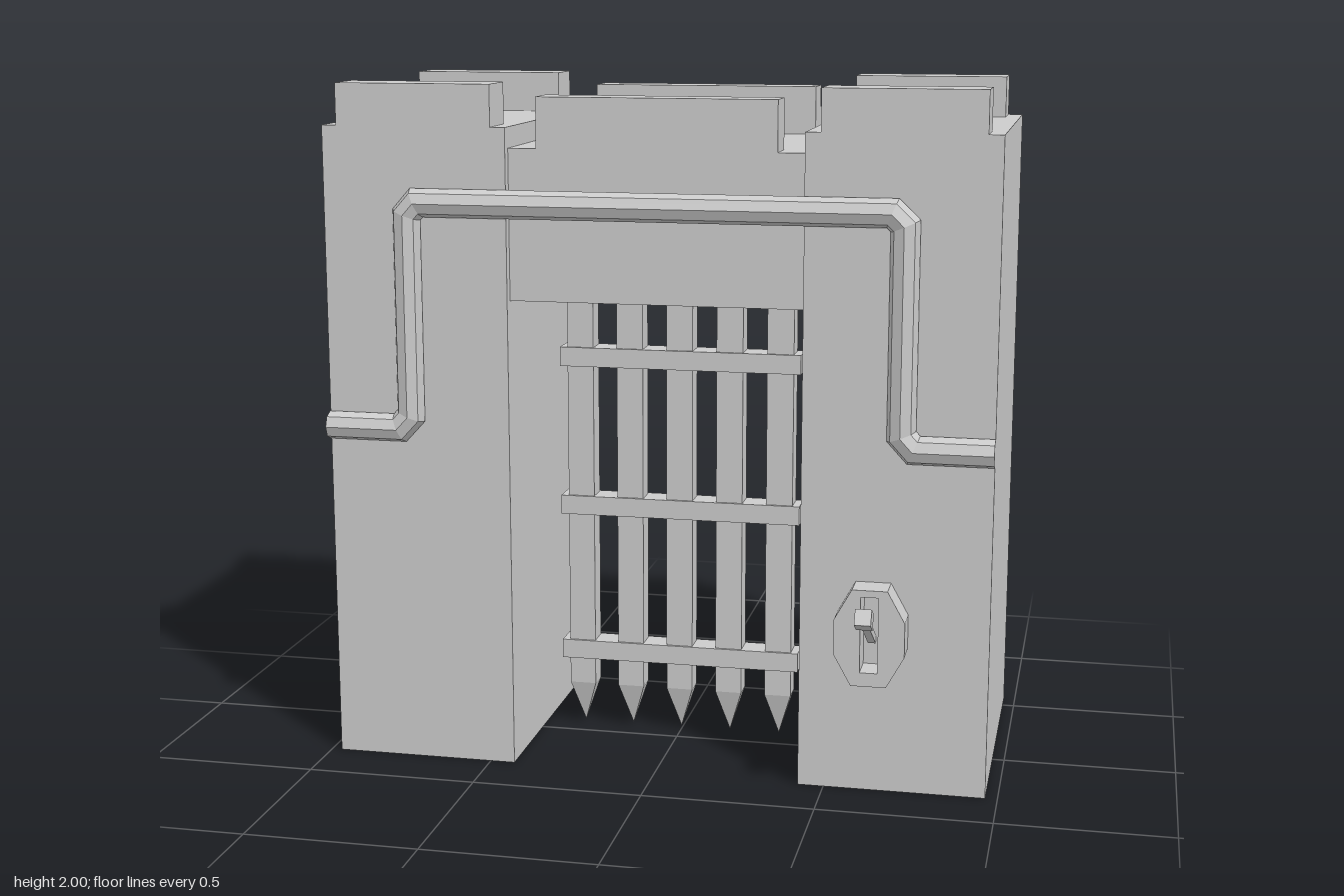
import * as THREE from 'three';

const material = new THREE.MeshStandardMaterial({ color: 0xcccccc, flatShading: true });

function add(parent, name, geometry) {
  const mesh = new THREE.Mesh(geometry, material);
  mesh.name = name;
  parent.add(mesh);
  return mesh;
}

// Box given by its limits on each axis
function box(parent, name, [x0, x1], [y0, y1], [z0, z1]) {
  const mesh = add(parent, name, new THREE.BoxGeometry(x1 - x0, y1 - y0, z1 - z0));
  mesh.position.set((x0 + x1) / 2, (y0 + y1) / 2, (z0 + z1) / 2);
  return mesh;
}

function group(parent, name) {
  const g = new THREE.Group();
  g.name = name;
  parent.add(g);
  return g;
}

// Mitred round pipe along a path in a plane of constant z, with closed ends
function pipeGeometry(path, z, radius, sides) {
  const pos = [], index = [];
  const pts = path.map(([x, y]) => new THREE.Vector2(x, y));
  const last = pts.length - 1;
  pts.forEach((p, i) => {
    const a = pts[Math.max(i - 1, 0)], b = pts[Math.min(i + 1, last)];
    const d1 = (i > 0 ? p.clone().sub(a) : b.clone().sub(p)).normalize();
    const d2 = (i < last ? b.clone().sub(p) : d1.clone()).normalize();
    const t = d1.clone().add(d2).normalize();
    const r = radius / t.dot(d1);
    for (let s = 0; s < sides; s++) {
      const q = (s / sides) * Math.PI * 2;
      pos.push(p.x - t.y * r * Math.cos(q), p.y + t.x * r * Math.cos(q), z + radius * Math.sin(q));
      if (i < last) {
        const n = (s + 1) % sides, k = i * sides;
        index.push(k + s, k + n, k + sides + s, k + n, k + sides + n, k + sides + s);
      }
    }
  });
  for (let s = 1; s < sides - 1; s++) {
    index.push(0, s + 1, s);
    index.push(last * sides, last * sides + s, last * sides + s + 1);
  }
  const g = new THREE.BufferGeometry();
  g.setAttribute('position', new THREE.Float32BufferAttribute(pos, 3));
  g.setIndex(index);
  g.computeVertexNormals();
  return g;
}

export function createModel() {
  const model = new THREE.Group();
  model.name = 'castleGate';

  // Two towers with a battlement at front and back
  for (const [name, x0, x1] of [['rightTower', -0.97, -0.427], ['leftTower', 0.425, 0.965]]) {
    const tower = group(model, name);
    box(tower, 'towerBody', [x0, x1], [0, 1.88], [-0.57, 0.32]);
    for (const z of [[-0.57, -0.43], [0.18, 0.32]]) {
      box(tower, 'towerBattlement', [x0 + 0.043, x1 - 0.043], [1.88, 2], z);
    }
  }

  // Bridge between the towers
  const bridge = group(model, 'bridge');
  box(bridge, 'bridgeBody', [-0.427, 0.425], [1.385, 1.82], [-0.54, 0.29]);
  for (const z of [[-0.54, -0.43], [0.18, 0.29]]) {
    box(bridge, 'bridgeBattlement', [-0.345, 0.345], [1.82, 1.965], z);
  }

  // Portcullis: pointed uprights and three crossbars
  const gate = group(model, 'portcullis');
  const gateZ = -0.075;
  for (let i = -2; i <= 2; i++) {
    const x = i * 0.153;
    box(gate, 'gateBar', [x - 0.04, x + 0.04], [0.14, 1.39], [gateZ - 0.035, gateZ + 0.035]);
    const spike = add(gate, 'gateSpike',
      new THREE.ConeGeometry(Math.SQRT1_2, 1, 4, 1, true).rotateY(Math.PI / 4).rotateX(Math.PI));
    spike.scale.set(0.08, 0.13, 0.07);
    spike.position.set(x, 0.075, gateZ);
  }
  for (const y of [0.25, 0.71, 1.17]) {
    box(gate, 'gateCrossbar', [-0.368, 0.368], [y - 0.029, y + 0.029], [gateZ - 0.043, gateZ + 0.043]);
  }

  // Pipe running across the front
  add(model, 'pipe', pipeGeometry([
    [-0.97, 1.007], [-0.755, 1.007], [-0.72, 1.045], [-0.72, 1.63], [-0.69, 1.664],
    [0.67, 1.664], [0.705, 1.63], [0.705, 1.045], [0.74, 1.007], [0.965, 1.007],
  ], 0.325, 0.041, 8));

  // Slotted lever plate
  const control = group(model, 'leverControl');
  control.position.set(0.635, 0.48, 0.32);
  const plate = new THREE.Shape([
    [-0.05, -0.14], [0.05, -0.14], [0.1, -0.05], [0.1, 0.05],
    [0.05, 0.14], [-0.05, 0.14], [-0.1, 0.05], [-0.1, -0.05],
  ].map(([x, y]) => new THREE.Vector2(x, y)));
  plate.holes.push(new THREE.Path([[-0.025, -0.1], [-0.025, 0.12], [0.025, 0.12], [0.025, -0.1]]
    .map(([x, y]) => new THREE.Vector2(x, y))));
  add(control, 'leverPlate', new THREE.ExtrudeGeometry(plate, { depth: 0.09, bevelEnabled: false }));

  // Lever tilted upwards, with a square knob
  const lever = group(control, 'lever');
  lever.position.set(0, -0.025, 0.01);
  lever.rotation.x = -Math.PI / 6;
  box(lever, 'leverRod', [-0.011, 0.011], [-0.011, 0.011], [0, 0.22]);
  box(lever, 'leverKnob', [-0.023, 0.023], [-0.023, 0.023], [0.21, 0.265]);

  return model;
}
